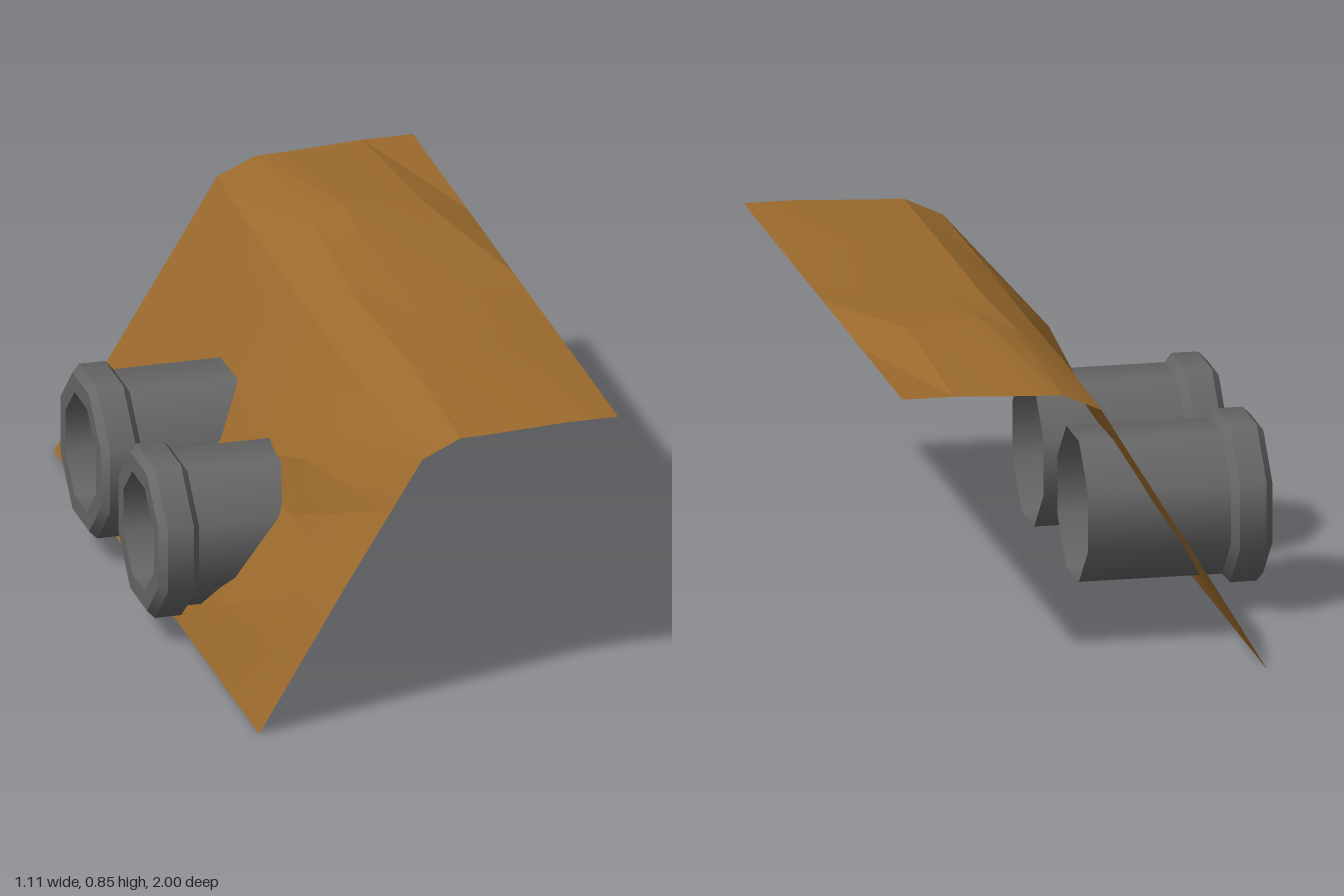
import * as THREE from 'three';
import { mergeGeometries, toCreasedNormals } from 'three/addons/utils/BufferGeometryUtils.js';

const ochre = new THREE.MeshStandardMaterial({ color: 0x9b6a2d, side: THREE.DoubleSide });
ochre.name = 'ochre earth';
const grey = new THREE.MeshStandardMaterial({ color: 0x666666, side: THREE.DoubleSide });
grey.name = 'pipe grey';

// Embankment cross-sections: z, then [x, y] from foot to top edge
const SECTIONS = [
  [-1, [[-0.44, 0], [-0.32, 0.2], [-0.21, 0.38], [-0.075, 0.6], [0.01, 0.74], [0.115, 0.787], [0.21, 0.79], [0.41, 0.8], [0.55, 0.8]]],
  [-0.47, [[-0.44, 0], [-0.33, 0.2], [-0.23, 0.35], [-0.09, 0.6], [0, 0.735], [0.12, 0.82], [0.21, 0.85], [0.42, 0.845], [0.55, 0.8]]],
  [0, [[-0.44, 0], [-0.33, 0.22], [-0.22, 0.39], [-0.08, 0.6], [0, 0.727], [0.11, 0.785], [0.21, 0.79], [0.4, 0.8], [0.55, 0.8]]],
  [0.5, [[-0.44, 0], [-0.39, 0.16], [-0.21, 0.4], [-0.17, 0.555], [0, 0.73], [0.12, 0.797], [0.21, 0.805], [0.41, 0.818], [0.55, 0.8]]],
  [1, [[-0.44, 0], [-0.32, 0.2], [-0.2, 0.4], [-0.075, 0.6], [0.01, 0.738], [0.115, 0.787], [0.21, 0.79], [0.41, 0.8], [0.55, 0.8]]],
];

function embankmentGeometry() {
  const positions = [], index = [], n = SECTIONS[0][1].length;
  for (const [z, pts] of SECTIONS) for (const [x, y] of pts) positions.push(x, y, z);
  for (let s = 0; s < SECTIONS.length - 1; s++) {
    for (let i = 0; i < n - 1; i++) {
      const a = s * n + i, b = a + n;
      index.push(a, b, b + 1, a, b + 1, a + 1);
    }
  }
  const geo = new THREE.BufferGeometry();
  geo.setAttribute('position', new THREE.Float32BufferAttribute(positions, 3));
  geo.setIndex(index);
  return toCreasedNormals(geo, Math.PI / 10);
}

// Octagonal pipe along x: [radius, x] from bore, round the collar, to the open end
const PIPE_PROFILE = [
  [0.16, -0.36], [0.16, -0.56], [0.212, -0.56], [0.233, -0.54],
  [0.233, -0.468], [0.209, -0.448], [0.209, -0.06],
];

function pipeGeometry() {
  // one band per profile step keeps the rims sharp and the sides smooth
  const bands = PIPE_PROFILE.slice(1).map((p, i) => new THREE.LatheGeometry(
    [new THREE.Vector2(...PIPE_PROFILE[i]), new THREE.Vector2(...p)], 8, Math.PI / 8));
  return mergeGeometries(bands).rotateZ(-Math.PI / 2);
}

export function createModel() {
  const model = new THREE.Group();
  model.name = 'drainBank';

  const bank = new THREE.Mesh(embankmentGeometry(), ochre);
  bank.name = 'embankment';
  model.add(bank);

  const geo = pipeGeometry();
  for (const [name, z] of [['backPipe', -0.313], ['frontPipe', 0.25]]) {
    const pipe = new THREE.Mesh(geo, grey);
    pipe.name = name;
    pipe.position.set(0, 0.292, z);
    model.add(pipe);
  }
  return model;
}
